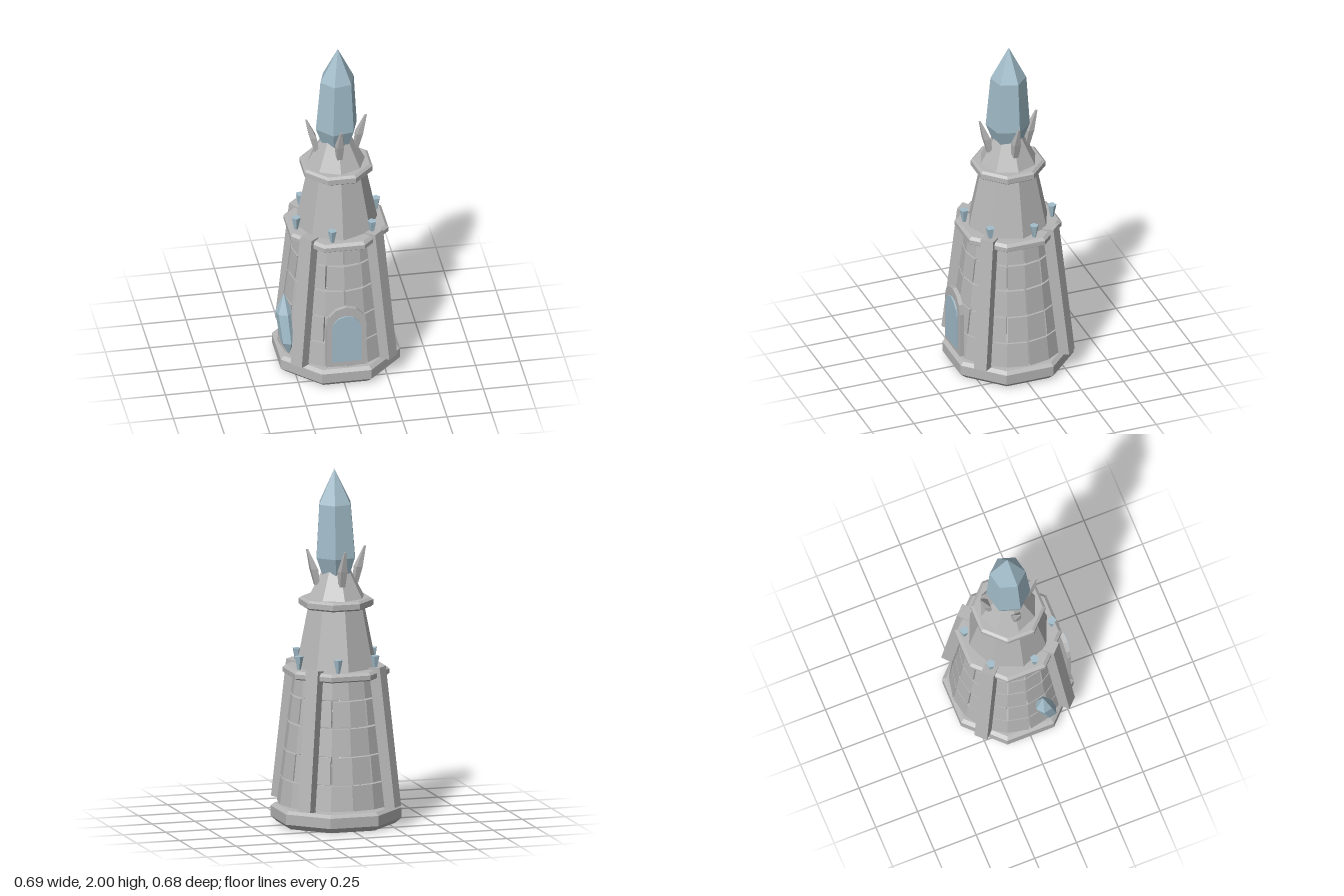
import * as THREE from 'three';

const stone = new THREE.MeshStandardMaterial({ color: 0xb6b6b6 });
stone.name = 'stone';
const crystal = new THREE.MeshStandardMaterial({ color: 0xa2bdca });
crystal.name = 'crystal';

// Flat facets from any geometry
function facet(geometry) {
  const g = geometry.index ? geometry.toNonIndexed() : geometry;
  g.computeVertexNormals();
  return g;
}

function addMesh(parent, name, geometry, material) {
  const mesh = new THREE.Mesh(facet(geometry), material);
  mesh.name = name;
  parent.add(mesh);
  return mesh;
}

// Closed solid through a list of convex loops of [x, y, z] points
function loft(loops) {
  const n = loops[0].length;
  const tris = [];
  for (let s = 0; s < loops.length - 1; s++) {
    for (let i = 0; i < n; i++) {
      const j = (i + 1) % n;
      const a = loops[s][i], b = loops[s][j], c = loops[s + 1][j], d = loops[s + 1][i];
      tris.push([a, c, b], [a, d, c]);
    }
  }
  const first = loops[0], last = loops[loops.length - 1];
  for (let i = 1; i < n - 1; i++) {
    tris.push([first[0], first[i], first[i + 1]], [last[0], last[i + 1], last[i]]);
  }
  // Turn the solid right side out by the sign of its volume
  let volume = 0;
  for (const t of tris) {
    const [a, b, c] = t.map((p) => new THREE.Vector3(...p));
    volume += a.dot(b.cross(c));
  }
  if (volume < 0) tris.forEach((t) => t.reverse());
  const g = new THREE.BufferGeometry();
  g.setAttribute('position', new THREE.Float32BufferAttribute(tris.flat(2), 3));
  return g;
}

// Regular polygon loop lying level
function ring(x, y, z, r, sides, turn) {
  return Array.from({ length: sides }, (_, i) => {
    const a = turn + (i / sides) * Math.PI * 2;
    return [x + r * Math.cos(a), y, z + r * Math.sin(a)];
  });
}

// Eight-sided turned solid; profile is [radius, height] from the bottom up
function octagon(profile, turn) {
  return new THREE.LatheGeometry(profile.map(([r, y]) => new THREE.Vector2(r, y)), 8, turn);
}

// One wall brick spanning two facets of a sixteen-sided tapered wall
function brick(y0, y1, start) {
  const step = Math.PI / 8, gap = 0.016, thick = 0.03;
  const radius = (y) => 0.329 - (y - 0.12) * 0.125;
  return loft([start + gap, start + step, start + 2 * step - gap].map((a) =>
    [[0, y0], [0, y1], [thick, y1], [thick, y0]].map(([inset, y]) => {
      const r = radius(y) - inset;
      return [r * Math.sin(a), y, r * Math.cos(a)];
    })));
}

// Arched plate standing on y0
function arch(half, y0, spring, depth) {
  const s = new THREE.Shape();
  s.moveTo(-half, y0);
  s.lineTo(half, y0);
  for (let i = 0; i <= 6; i++) {
    const a = (i / 6) * Math.PI;
    s.lineTo(half * Math.cos(a), spring + half * Math.sin(a));
  }
  return new THREE.ExtrudeGeometry(s, { depth, bevelEnabled: false });
}

export function createModel() {
  const model = new THREE.Group();
  model.name = 'crystalTower';
  const tower = new THREE.Group();
  tower.name = 'tower';
  tower.position.set(0.008, 0, -0.004);
  model.add(tower);
  const flat = Math.PI / 8;

  // Foundation
  addMesh(tower, 'base', octagon(
    [[0, 0], [0.33, 0], [0.365, 0.03], [0.365, 0.088], [0.343, 0.105], [0, 0.105]], flat), stone);

  // Hollow brick wall, alternate courses shifted by half a brick
  const wall = new THREE.Group();
  wall.name = 'brickWall';
  tower.add(wall);
  const courses = [[0.12, 0.26], [0.268, 0.416], [0.424, 0.575], [0.585, 0.726], [0.736, 0.842]];
  courses.forEach(([y0, y1], row) => {
    for (let i = 0; i < 8; i++) {
      addMesh(wall, 'brick', brick(y0, y1, i * Math.PI / 4 + (row % 2) * flat), stone);
    }
  });

  // Leaning buttresses on the diagonals
  for (let i = 0; i < 4; i++) {
    const arm = new THREE.Group();
    arm.name = 'buttress';
    arm.rotation.y = Math.PI / 4 + i * Math.PI / 2;
    tower.add(arm);
    const beam = addMesh(arm, 'buttressBeam', new THREE.BoxGeometry(0.076, 0.79, 0.07), stone);
    beam.position.set(0, 0.508, 0.305);
    beam.rotation.x = -0.121;
  }

  // Collars, upper tower and cap
  addMesh(tower, 'lowerCollar', octagon(
    [[0, 0.84], [0.286, 0.84], [0.298, 0.848], [0.298, 0.873], [0.28, 0.888], [0, 0.888]], flat), stone);
  addMesh(tower, 'upperTower', octagon([[0.233, 0.885], [0.162, 1.235]], 0), stone);
  addMesh(tower, 'upperCollar', octagon(
    [[0, 1.224], [0.194, 1.224], [0.208, 1.234], [0.208, 1.264], [0.192, 1.276], [0, 1.276]], flat), stone);
  addMesh(tower, 'cap', octagon([[0.165, 1.272], [0.082, 1.43], [0, 1.43]], 0), stone);

  // Claws holding the great crystal: [height, inner radius, outer radius, half width]
  const clawSections = [[1.35, 0.1, 0.125, 0.02], [1.44, 0.112, 0.15, 0.027], [1.555, 0.164, 0.174, 0.006]];
  const clawShape = loft(clawSections.map(([y, r0, r1, w]) =>
    [[-w, y, r0], [w, y, r0], [w * 0.7, y, r1], [-w * 0.7, y, r1]]));
  for (let i = 0; i < 4; i++) {
    addMesh(tower, 'claw', clawShape, stone).rotation.y = i * Math.PI / 2;
  }

  // Great crystal on top
  const turn = -1.26;
  addMesh(tower, 'greatCrystal', loft([
    ring(0, 1.36, 0, 0.07, 6, turn),
    ring(0.001, 1.505, 0.002, 0.123, 6, turn),
    ring(0.006, 1.805, 0, 0.1, 6, turn),
    ring(0.01, 2, 0, 0.0005, 6, turn),
  ]), crystal);

  // Crystal growing beside the wall
  addMesh(tower, 'sideCrystal', loft([
    ring(-0.288, 0.12, 0.138, 0.004, 6, 0.3),
    ring(-0.293, 0.2, 0.128, 0.045, 6, 0.3),
    ring(-0.308, 0.37, 0.09, 0.051, 6, 0.3),
    ring(-0.31, 0.485, 0.085, 0.0005, 6, 0.3),
  ]), crystal);

  // Small crystal studs around the lower collar
  for (let i = 0; i < 6; i++) {
    const a = -1.31 + i * Math.PI / 3;
    const x = 0.245 * Math.cos(a), z = 0.245 * Math.sin(a);
    addMesh(tower, 'crystalStud', loft([
      ring(x, 0.88, z, 0.009, 5, a),
      ring(x, 0.963, z, 0.026, 5, a),
    ]), crystal);
  }

  // Arched doorway on the front
  addMesh(tower, 'doorFrame', arch(0.113, 0.13, 0.397, 0.024), stone).position.z = 0.308;
  addMesh(tower, 'doorPanel', arch(0.083, 0.163, 0.373, 0.009), crystal).position.z = 0.332;

  return model;
}
